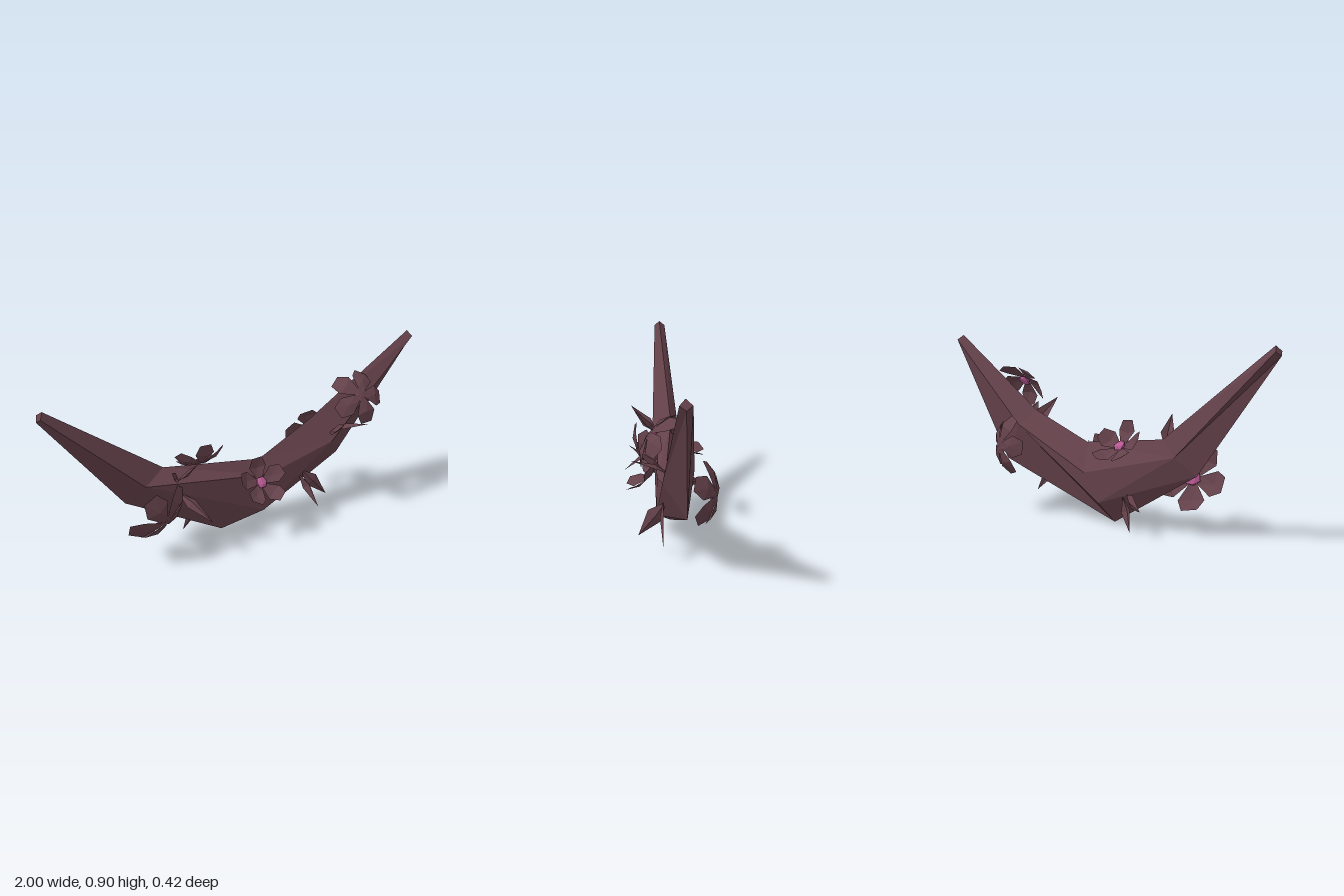
import * as THREE from 'three';

const bark = new THREE.MeshStandardMaterial({ color: 0x64414a, flatShading: true, side: THREE.DoubleSide });
const pink = new THREE.MeshStandardMaterial({ color: 0xb85a94, flatShading: true });
const V = (a) => new THREE.Vector3(...a);

// Flat-faced mesh from a list of triangles, each three corner points
function faceted(triangles, name) {
  const g = new THREE.BufferGeometry();
  g.setAttribute('position', new THREE.Float32BufferAttribute(triangles.flat(2), 3));
  g.computeVertexNormals();
  const mesh = new THREE.Mesh(g, bark);
  mesh.name = name;
  return mesh;
}

// Curved branch: diamond sections, with the front and back edges splitting in two at the middle
function makeBranch() {
  const diamond = (bottom, front, top, back) => [bottom, front, front, top, back, back];
  const rings = [
    diamond([-0.998, 0.86, -0.012], [-0.985, 0.88, 0.016], [-0.968, 0.905, -0.01], [-0.985, 0.88, -0.04]),
    diamond([-0.6, 0.3, -0.05], [-0.53, 0.425, 0.05], [-0.4, 0.45, -0.04], [-0.5, 0.38, -0.088]),
    [[-0.1, 0.012, -0.02], [0.1, 0.11, 0.062], [0.13, 0.31, 0.06], [0.1, 0.385, 0.01], [0.04, 0.25, -0.09], [-0.05, 0.11, -0.09]],
    diamond([0.6, 0.26, -0.05], [0.5, 0.4, 0.055], [0.42, 0.525, -0.02], [0.48, 0.45, -0.09]),
    diamond([0.998, 0.85, -0.012], [0.985, 0.868, 0.016], [0.968, 0.893, -0.01], [0.985, 0.868, -0.04]),
  ];
  const triangles = [];
  const add = (a, b, c) => {
    if (a !== b && b !== c && c !== a) triangles.push([a, b, c]);
  };
  for (let r = 0; r < 4; r++) {
    for (let j = 0; j < 6; j++) {
      const k = (j + 1) % 6;
      add(rings[r][j], rings[r + 1][j], rings[r][k]);
      add(rings[r][k], rings[r + 1][j], rings[r + 1][k]);
    }
  }
  for (let j = 1; j < 5; j++) {
    add(rings[0][0], rings[0][j], rings[0][j + 1]);
    add(rings[4][0], rings[4][j + 1], rings[4][j]);
  }
  return faceted(triangles, 'branch');
}

// Petal along +x: creased along its middle, with its tip bent forward
function makePetal(R) {
  const [base, inL, inR, mid, midL, midR, tipL, tipR] = [
    [0, 0, 0], [0.2, 0.14, 0.02], [0.2, -0.14, 0.02], [0.64, 0, 0.08],
    [0.68, 0.39, 0.18], [0.68, -0.39, 0.18], [1.0, 0.24, 0.42], [1.03, -0.22, 0.42],
  ].map((p) => p.map((v) => v * R));
  return faceted([
    [base, mid, inL], [base, inR, mid], [inL, mid, midL], [inR, midR, mid],
    [midL, mid, tipL], [mid, tipR, tipL], [mid, midR, tipR],
  ], 'petal');
}

// Five-petalled cupped flower opening in a direction
function makeFlower({ at, facing, R, spin }) {
  const flower = new THREE.Group();
  flower.name = 'flower';
  for (let i = 0; i < 5; i++) {
    const petal = makePetal(R);
    petal.rotation.z = spin + (i * Math.PI * 2) / 5;
    flower.add(petal);
  }
  const centre = new THREE.Mesh(new THREE.IcosahedronGeometry(R * 0.26, 0), pink);
  centre.name = 'flowerCentre';
  centre.scale.z = 0.4;
  centre.position.z = R * 0.11;
  flower.add(centre);
  flower.position.set(...at);
  flower.quaternion.setFromUnitVectors(new THREE.Vector3(0, 0, 1), V(facing).normalize());
  return flower;
}

// Pointed folded leaf from base to tip
function makeLeaf(base, tip, width, side) {
  const a = V(base);
  const dir = V(tip).sub(a);
  const across = V(side).cross(dir).normalize();
  const up = dir.clone().cross(across).normalize();
  const mid = a.clone().addScaledVector(dir, 0.4);
  const left = mid.clone().addScaledVector(across, width).toArray();
  const right = mid.clone().addScaledVector(across, -width).toArray();
  const ridge = mid.clone().addScaledVector(up, width * 0.45).toArray();
  return faceted([[base, left, ridge], [base, ridge, right], [left, tip, ridge], [ridge, tip, right]], 'leaf');
}

export function createModel() {
  const model = new THREE.Group();
  model.name = 'floweringBranch';
  model.add(makeBranch());

  // Two flowers open outward, three are turned towards the branch
  const flowers = [
    { at: [0.062, 0.3, 0.095], facing: [0, 0.65, 0.75], R: 0.118, spin: 0.3 },
    { at: [-0.18, 0.395, -0.075], facing: [0.05, 0.72, -0.7], R: 0.125, spin: 0.8 },
    { at: [0.62, 0.665, 0.115], facing: [0, -0.62, -0.78], R: 0.135, spin: 0.2 },
    { at: [-0.465, 0.25, 0.12], facing: [-0.3, 0.4, -0.87], R: 0.165, spin: 0.5 },
    { at: [0.525, 0.35, -0.185], facing: [-0.4, -0.05, 1], R: 0.145, spin: 0.6 },
  ];
  flowers.forEach((f) => model.add(makeFlower(f)));

  // Leaves: base, tip, half width, facing
  const leaves = [
    [[-0.2, 0.16, -0.085], [-0.27, 0.0, -0.12], 0.028, [0, 0, 1]],
    [[-0.22, 0.17, -0.08], [-0.39, 0.13, -0.2], 0.036, [0.12, 0, -0.17]],
    [[0.33, 0.27, 0.04], [0.48, 0.09, 0.05], 0.036, [0, 0, 1]],
    [[0.32, 0.25, 0.03], [0.365, 0.105, 0.16], 0.042, [1, 0, 0]],
    [[0.5, 0.44, 0.03], [0.47, 0.57, 0.2], 0.036, [0, 0.5, 1]],
    [[0.53, 0.46, 0.03], [0.61, 0.54, 0.2], 0.036, [0, 1, 0]],
    [[-0.36, 0.4, 0.03], [-0.31, 0.545, 0.16], 0.034, [0.6, 0.3, 1]],
    [[-0.37, 0.4, 0.03], [-0.43, 0.54, 0.17], 0.028, [1, 0.5, 0]],
    [[-0.36, 0.34, 0.03], [-0.26, 0.235, 0.21], 0.032, [0, 1, 0.4]],
  ];
  leaves.forEach((l) => model.add(makeLeaf(...l)));
  return model;
}
